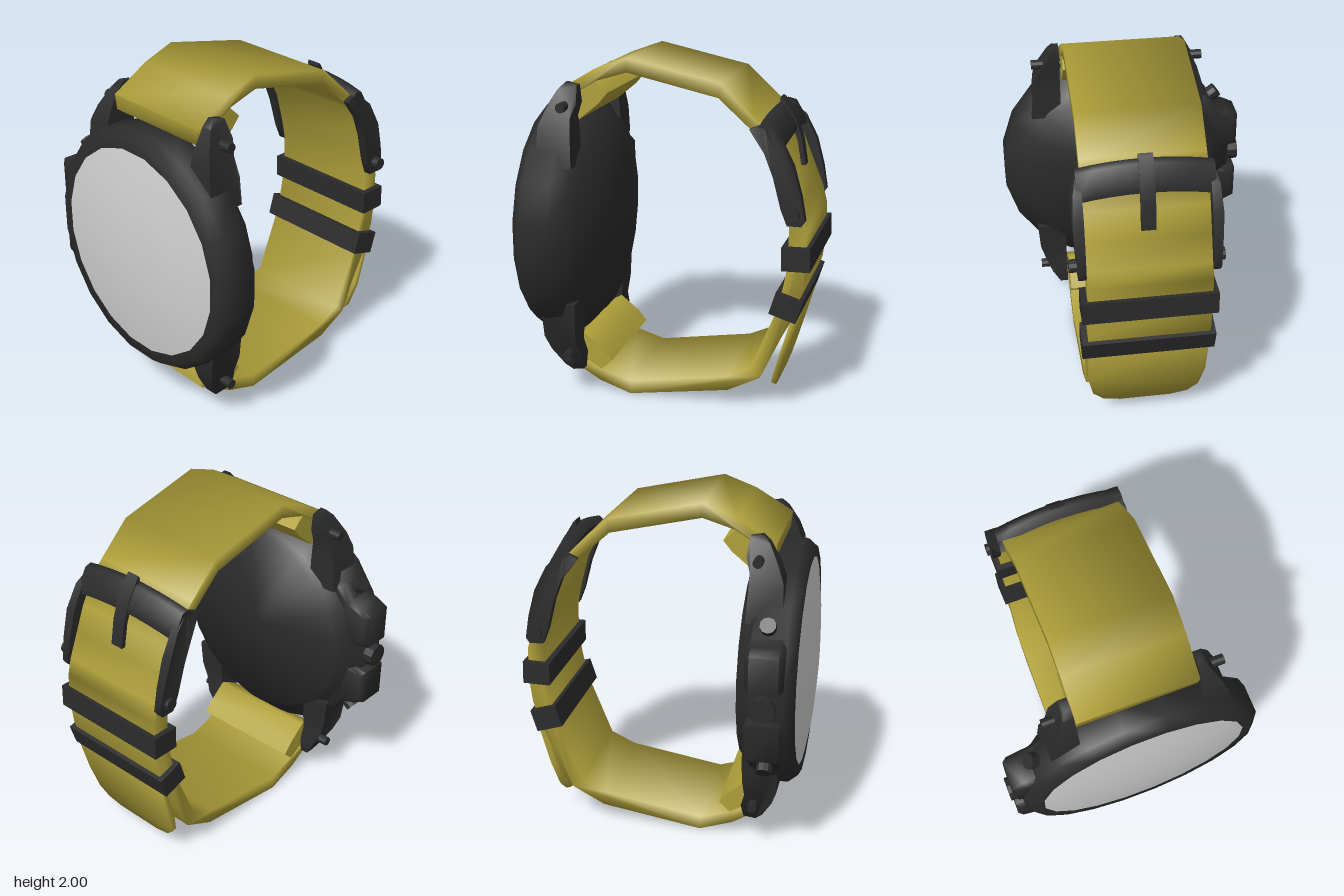
import * as THREE from 'three';
import { toCreasedNormals } from 'three/addons/utils/BufferGeometryUtils.js';

const ZC = 0.034; // centre plane of the strap and case
const SOFT = 1.7; // crease angle that also rounds off square edges
const mat = (name, color) => {
  const m = new THREE.MeshStandardMaterial({ color });
  m.name = name;
  return m;
};

export function createModel() {
  const watch = new THREE.Group();
  watch.name = 'wristwatch';
  const olive = mat('strap yellow', 0xb0a03a);
  const black = mat('case black', 0x2b2b2b);
  const grey = mat('glass grey', 0xd0d0d0);

  const add = (name, geo, material, crease = 0.6) => {
    const mesh = new THREE.Mesh(toCreasedNormals(geo, crease), material);
    mesh.name = name;
    watch.add(mesh);
    return mesh;
  };
  const shapeOf = pts => new THREE.Shape(pts.map(p => new THREE.Vector2(p[0], p[1])));
  const flip = pts => pts.map(([x, y]) => [x, 2 - y]);

  // Side profile (x, y) extruded across z
  const acrossZ = (pts, z0, z1, steps = 1) =>
    new THREE.ExtrudeGeometry(shapeOf(pts), { depth: z1 - z0, bevelEnabled: false, steps }).translate(0, 0, z0);
  // Outline (z, y) extruded towards -x from xMax
  const acrossX = (pts, xMax, depth, bevel = 0) =>
    new THREE.ExtrudeGeometry(shapeOf(pts), {
      depth, bevelEnabled: bevel > 0, bevelSize: bevel, bevelThickness: bevel, bevelOffset: -bevel, bevelSegments: 1,
    }).rotateY(-Math.PI / 2).translate(xMax, 0, 0);
  // Round pin along z
  const pin = (r, z0, z1, x, y) =>
    new THREE.CylinderGeometry(r, r, z1 - z0, 10).rotateX(Math.PI / 2).translate(x, y, (z0 + z1) / 2);
  // Turned part around the x axis; points are (radius, x)
  const turned = pts => new THREE.LatheGeometry(
    pts.map(p => new THREE.Vector2(p[0], p[1])), 20, Math.PI / 20).rotateZ(-Math.PI / 2).translate(0, 1.005, ZC);

  // Case and domed glass
  add('case', turned([[0.58, -0.788], [0.67, -0.79], [0.715, -0.735], [0.715, -0.57],
    [0.61, -0.5], [0.585, -0.46], [0, -0.445]]), black, 1.2);
  add('glass', turned([[0, -0.84], [0.25, -0.833], [0.45, -0.815], [0.61, -0.789]]), grey);

  // Lugs, rounded off on the outside towards the tip
  const lugProfile = [[-0.7, 1.4], [-0.69, 1.62], [-0.66, 1.71], [-0.6, 1.82], [-0.56, 1.86], [-0.49, 1.845],
    [-0.48, 1.75], [-0.505, 1.67], [-0.495, 1.56], [-0.49, 1.4]];
  for (const up of [true, false]) {
    for (const side of [1, -1]) {
      const geo = acrossZ(up ? lugProfile : flip(lugProfile), 0, 1);
      const p = geo.attributes.position;
      for (let i = 0; i < p.count; i++) {
        const rise = Math.max(0, Math.abs(p.getY(i) - 1) - 0.5);
        const outer = 0.525 - 0.15 * rise - 0.65 * rise * rise;
        const isOuter = (p.getZ(i) > 0.5) === (side > 0);
        p.setZ(i, ZC + side * (isOuter ? outer : 0.348));
      }
      add('lug', geo, black, 1.2);
    }
    add('lugPin', pin(0.028, -0.475, 0.545, -0.55, up ? 1.735 : 0.27), black);
  }

  // Crown, its guards and two push buttons
  const guard = [[-0.45, 1.45], [-0.52, 1.44], [-0.58, 1.36], [-0.65, 1.335], [-0.72, 1.3],
    [-0.72, 1.09], [-0.6, 1.07], [-0.45, 1.07]];
  for (const up of [true, false]) {
    add('crownGuard', acrossX(up ? guard : flip(guard), -0.55, 0.16, 0.025), black, 1.2);
    const button = add('pushButton', new THREE.CylinderGeometry(0.045, 0.045, 0.05, 10), black);
    button.position.set(-0.63, up ? 1.425 : 0.585, -0.575);
    button.rotation.x = up ? -0.9 : -Math.PI + 0.9;
    const stem = add('buttonStem', new THREE.CylinderGeometry(0.028, 0.028, 0.16, 8), black);
    stem.position.set(-0.63, up ? 1.38 : 0.63, -0.52);
    stem.rotation.x = button.rotation.x;
  }
  add('crown', pin(0.068, -0.738, -0.68, -0.63, 1.005), black);
  add('crownStem', pin(0.045, -0.69, -0.6, -0.63, 1.005), black);

  // Strap: one closed band from the upper lugs round to the lower lugs
  const outer = [[-0.63, 1.8], [-0.41, 1.93], [-0.22, 2], [0.31, 1.885], [0.5, 1.71], [0.57, 1.64],
    [0.66, 1.48], [0.72, 1.33], [0.78, 1.18], [0.805, 1.08], [0.81, 0.9], [0.79, 0.74], [0.735, 0.57],
    [0.64, 0.39], [0.56, 0.2], [0.37, 0.1], [-0.22, 0.005], [-0.41, 0.07], [-0.63, 0.2]];
  const inner = [[-0.6, 0.26], [-0.4, 0.14], [-0.22, 0.085], [0.35, 0.18], [0.5, 0.25], [0.64, 0.6],
    [0.68, 0.76], [0.705, 0.9], [0.705, 1.12], [0.68, 1.25], [0.625, 1.45], [0.56, 1.575],
    [0.48, 1.645], [0.3, 1.805], [-0.22, 1.92], [-0.4, 1.865], [-0.6, 1.74]];
  add('strap', acrossZ([...outer, ...inner], -0.31, 0.375), olive, SOFT);

  // Folded strap ends behind the lugs
  const fold = [[-0.63, 1.8], [-0.62, 1.71], [-0.5, 1.645], [-0.385, 1.74], [-0.335, 1.8], [-0.42, 1.88]];
  add('upperStrapFold', acrossZ(fold, -0.308, 0.373), olive, 1.2);
  add('lowerStrapFold', acrossZ(flip(fold), -0.308, 0.373), olive, 1.2);

  // Free strap tail with a rounded tip
  const half = [[0.341, 0.6], [0.341, 0.25], [0.31, 0.09], [0.25, 0.025], [0.15, 0]];
  const tailOutline = [...half, ...half.map(([z, y]) => [-z, y]).reverse()];
  const tail = add('strapTail', acrossX(tailOutline, 0.015, 0.03), olive, SOFT);
  tail.position.set(0.615, 0.11, ZC);
  tail.rotation.z = -0.275;

  // Keeper loops
  for (const [x, y, tilt] of [[0.752, 0.935, 0.02], [0.703, 0.65, -0.3]]) {
    const keeper = add('keeperLoop', new THREE.BoxGeometry(0.16, 0.135, 0.75), black);
    keeper.position.set(x, y, ZC);
    keeper.rotation.z = tilt;
  }

  // Buckle: two curved arms, drawn in at the top, joined by an arched bar
  const arm = [[0.48, 1.65], [0.56, 1.685], [0.66, 1.6], [0.73, 1.46], [0.775, 1.3], [0.8, 1.16],
    [0.78, 1.13], [0.7, 1.13], [0.665, 1.22], [0.62, 1.4], [0.57, 1.53]];
  for (const side of [1, -1]) {
    const z = ZC + side * 0.371;
    const geo = acrossZ(arm, z - 0.03, z + 0.03);
    const p = geo.attributes.position;
    for (let i = 0; i < p.count; i++) {
      const y = p.getY(i);
      if ((p.getZ(i) - z) * side > 0) p.setZ(i, p.getZ(i) - side * (Math.max(0, y - 1.56) * 0.3 + Math.max(0, 1.45 - y) * 0.05));
    }
    add('buckleArm', geo, black, 1.2);
    add('bucklePin', pin(0.036, z - 0.02 + side * 0.02, z + 0.02 + side * 0.04, 0.735, 1.2), black);
  }
  const bar = acrossZ([[0.52, 1.66], [0.56, 1.7], [0.6, 1.69], [0.665, 1.58], [0.665, 1.55], [0.58, 1.55]], -0.37, 0.37, 8);
  const bp = bar.attributes.position;
  for (let i = 0; i < bp.count; i++) {
    const lift = 1 - (bp.getZ(i) / 0.37) ** 2;
    bp.setXYZ(i, bp.getX(i) + 0.015 * lift, bp.getY(i) + 0.045 * lift - 0.005, bp.getZ(i) + ZC);
  }
  add('buckleBar', bar, black, 1.2);

  // Prong
  add('prong', acrossZ([[0.585, 1.775], [0.6, 1.765], [0.67, 1.65], [0.71, 1.54], [0.735, 1.39],
    [0.71, 1.39], [0.685, 1.53], [0.64, 1.65], [0.58, 1.755]], -0.006, 0.074), black);

  return watch;
}
